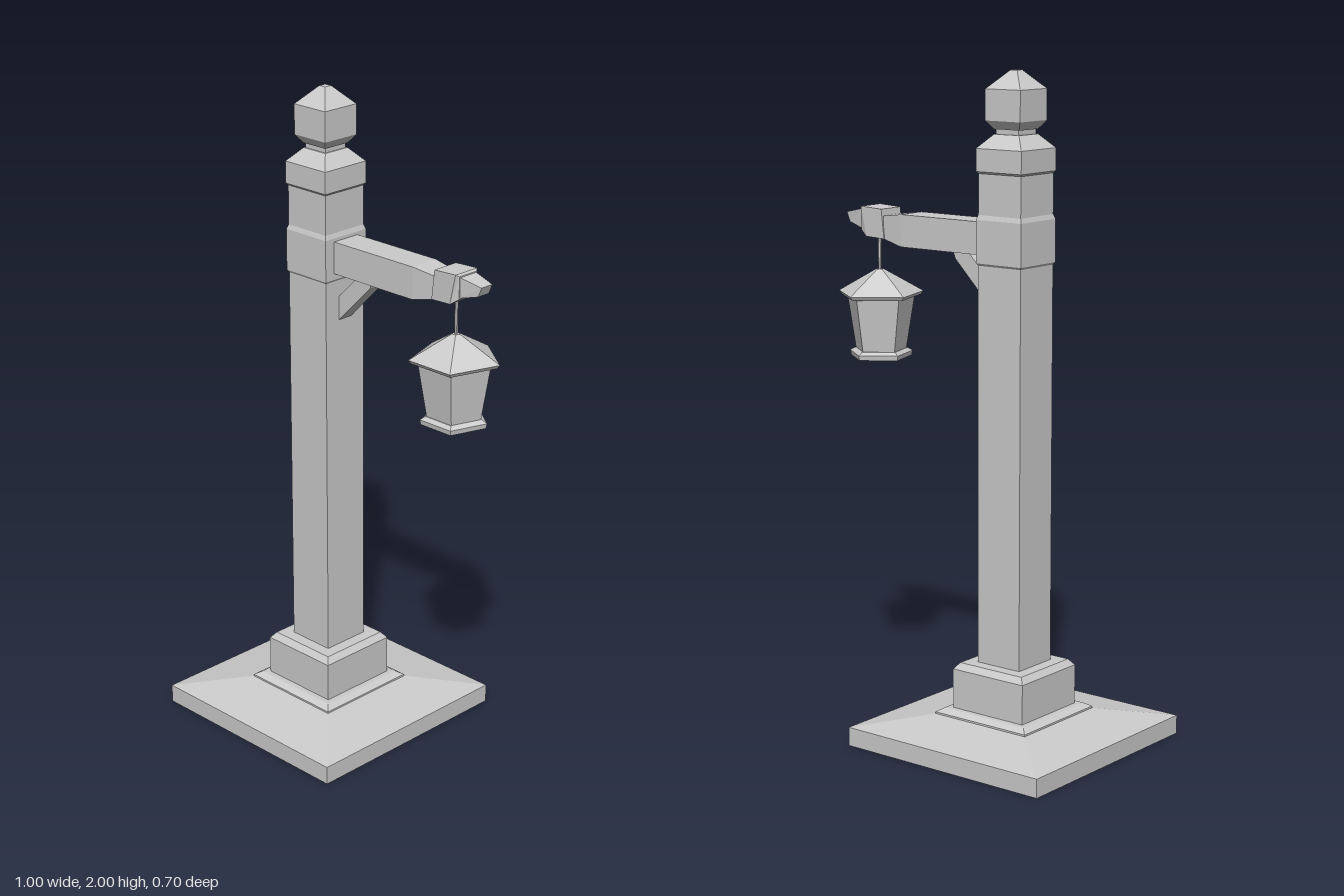
import * as THREE from 'three';

const material = new THREE.MeshStandardMaterial({ color: 0xcccccc, flatShading: true });
const POST_X = -0.15;
const LAMP_X = 0.37;

function part(name, geometry, x = 0) {
  const mesh = new THREE.Mesh(geometry, material);
  mesh.name = name;
  mesh.position.x = x;
  return mesh;
}

// Closed solid with regular cross-section; profile is [apothem or radius, y] from bottom to top
function turned(profile, sides, start, scale = 1) {
  const pts = profile.map(([r, y]) => new THREE.Vector2(r * scale, y));
  pts.unshift(new THREE.Vector2(0, profile[0][1]));
  pts.push(new THREE.Vector2(0, profile[profile.length - 1][1]));
  return new THREE.LatheGeometry(pts, sides, start);
}
const square = (profile) => turned(profile, 4, Math.PI / 4, Math.SQRT2);
const pentagon = (profile) => turned(profile, 5, Math.PI);

// Beam along x through rectangular sections [xBottom, xTop, yBottom, yTop, halfDepth]
function beam(sections) {
  const n = sections.length - 1;
  const geo = new THREE.BoxGeometry(1, 1, 1, n, 1, 1);
  const p = geo.attributes.position;
  for (let i = 0; i < p.count; i++) {
    const [xb, xt, yb, yt, hz] = sections[Math.round((p.getX(i) + 0.5) * n)];
    const up = p.getY(i) > 0;
    p.setXYZ(i, up ? xt : xb, up ? yt : yb, Math.sign(p.getZ(i)) * hz);
  }
  geo.computeVertexNormals();
  return geo;
}

export function createModel() {
  const model = new THREE.Group();
  model.name = 'lampPost';

  // Square post, stacked from the ground up
  const post = new THREE.Group();
  post.name = 'post';
  post.position.x = POST_X;
  post.add(
    part('base', square([[0.352, 0], [0.352, 0.057], [0.16, 0.092]])),
    part('baseLedge', square([[0.168, 0.08], [0.168, 0.096], [0.148, 0.108]])),
    part('plinth', square([[0.13, 0.1], [0.13, 0.228], [0.115, 0.247]])),
    part('shaft', square([[0.077, 0.24], [0.077, 1.715]])),
    part('armCollar', square([[0.077, 1.44], [0.082, 1.447], [0.082, 1.573], [0.077, 1.587]])),
    part('topBand', square([[0.077, 1.706], [0.082, 1.712], [0.082, 1.778], [0.045, 1.818]])),
    part('neck', square([[0.041, 1.81], [0.041, 1.834]])),
    part('finial', square([[0.045, 1.832], [0.063, 1.857], [0.063, 1.947], [0.012, 2]])),
  );
  model.add(post);

  // Arm with a carved end
  model.add(part('arm', beam([
    [-0.1, -0.1, 1.466, 1.563, 0.048],
    [0.245, 0.245, 1.466, 1.563, 0.048],
    [0.32, 0.32, 1.484, 1.553, 0.04],
  ])));
  model.add(part('armBlock', beam([
    [0.315, 0.325, 1.484, 1.573, 0.044],
    [0.385, 0.405, 1.487, 1.577, 0.044],
    [0.412, 0.412, 1.505, 1.572, 0.036],
  ])));
  model.add(part('armTip', beam([
    [0.4, 0.405, 1.505, 1.57, 0.034],
    [0.47, 0.482, 1.524, 1.553, 0.022],
  ])));

  // Diagonal brace under the arm
  const outline = new THREE.Shape([
    [-0.08, 1.31], [0.055, 1.445], [0.065, 1.472], [0.01, 1.472], [-0.08, 1.382],
  ].map(([x, y]) => new THREE.Vector2(x, y)));
  const brace = new THREE.ExtrudeGeometry(outline, { depth: 0.05, bevelEnabled: false });
  brace.translate(0, 0, -0.025);
  model.add(part('brace', brace));

  // Hanging five-sided lantern
  const lantern = new THREE.Group();
  lantern.name = 'lantern';
  lantern.position.x = LAMP_X;
  const rod = new THREE.CylinderGeometry(0.005, 0.005, 0.13, 6);
  rod.translate(0, 1.435, 0);
  lantern.add(
    part('hanger', rod),
    part('lanternRoof', pentagon([[0.115, 1.3], [0.128, 1.302], [0.136, 1.313], [0.012, 1.385]])),
    part('lanternBody', pentagon([[0.08, 1.13], [0.109, 1.305]])),
    part('lanternFoot', pentagon([[0.098, 1.115], [0.101, 1.13], [0.085, 1.139]])),
  );
  model.add(lantern);

  return model;
}
